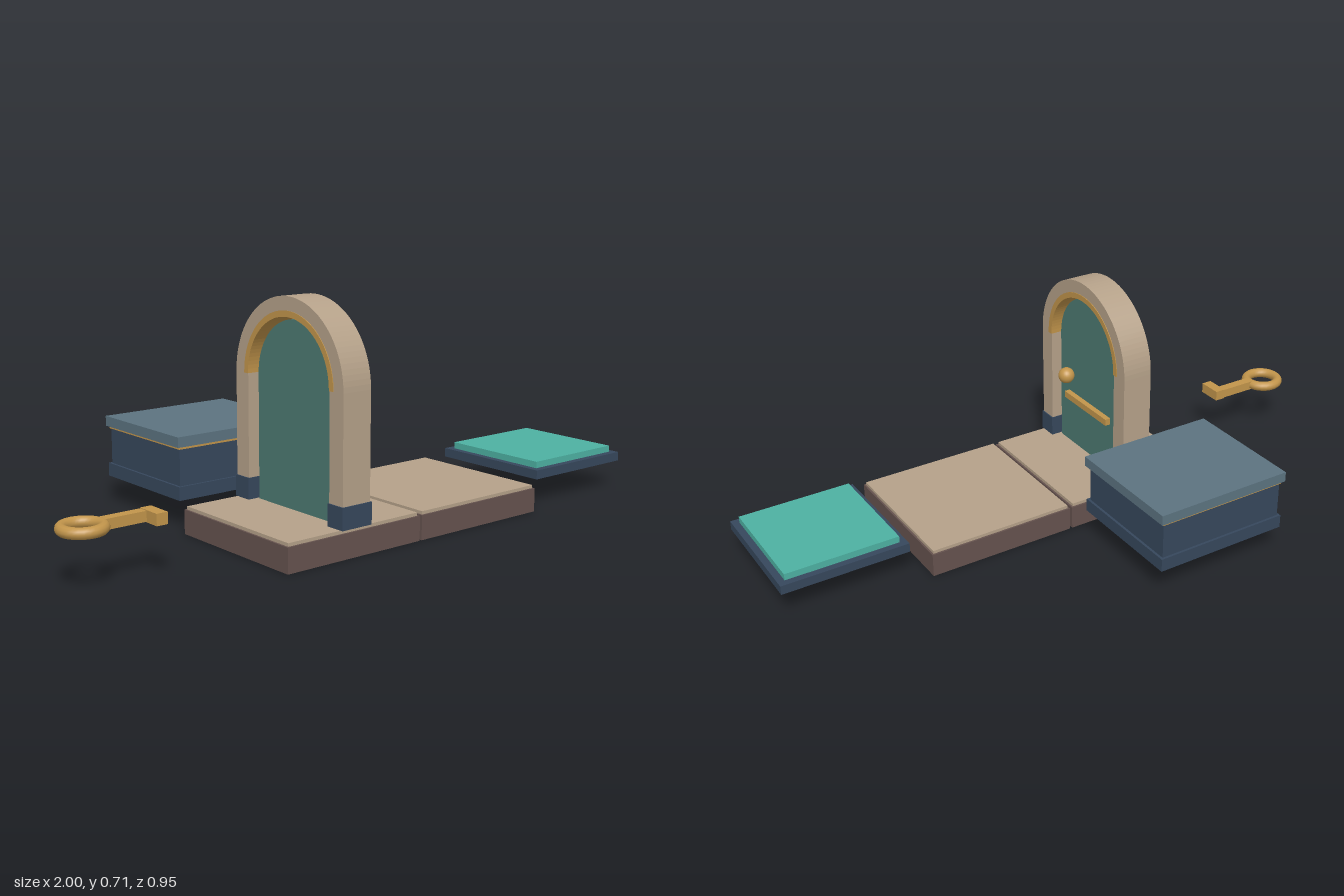
import * as THREE from 'three';

const mat = (name, color) => Object.assign(new THREE.MeshStandardMaterial({ color }), { name });
const M = {
  sand: mat('sandstone', 0xb5a189),
  brown: mat('dark brown', 0x65524e),
  navy: mat('navy', 0x36475c),
  slate: mat('slate', 0x5c7380),
  door: mat('door green', 0x4d7a72),
  teal: mat('teal', 0x4db1a2),
  gold: mat('gold', 0xc2954b),
};
const MID_Z = 0.229;   // centre line of door, tiles, key and plate
const DOOR_X = -0.204; // centre plane of the doorway
const FLOOR = 0.085;   // top of the tiles
const SPRING = 0.469;  // height where the arch curve begins

function add(parent, name, geometry, material, x = 0, y = 0, z = 0) {
  const mesh = new THREE.Mesh(geometry, material);
  mesh.name = name;
  mesh.position.set(x, y, z);
  parent.add(mesh);
  return mesh;
}

// Box given by its limits on each axis
function box(parent, name, material, [x0, x1], [y0, y1], [z0, z1]) {
  return add(parent, name, new THREE.BoxGeometry(x1 - x0, y1 - y0, z1 - z0), material,
    (x0 + x1) / 2, (y0 + y1) / 2, (z0 + z1) / 2);
}

function group(parent, name) {
  const g = new THREE.Group();
  g.name = name;
  parent.add(g);
  return g;
}

const around = (c, half) => [c - half, c + half];

// Round-topped outline with straight legs; inner = 0 makes a solid panel
function archGeometry(outer, inner, bottom, thickness) {
  const s = new THREE.Shape();
  s.moveTo(outer, bottom);
  s.lineTo(outer, SPRING);
  s.absarc(0, SPRING, outer, 0, Math.PI, false);
  s.lineTo(-outer, bottom);
  if (inner) {
    s.lineTo(-inner, bottom);
    s.lineTo(-inner, SPRING);
    s.absarc(0, SPRING, inner, Math.PI, 0, true);
    s.lineTo(inner, bottom);
  }
  const g = new THREE.ExtrudeGeometry(s, { depth: thickness, bevelEnabled: false, curveSegments: 24 });
  g.translate(0, 0, -thickness / 2);
  g.rotateY(-Math.PI / 2);
  return g;
}

export function createModel() {
  const model = new THREE.Group();
  model.name = 'doorwaySet';

  // Two floor tiles
  for (const x of [-0.204, 0.292]) {
    const tile = group(model, 'floorTile');
    box(tile, 'tileBase', M.brown, around(x, 0.244), [0, 0.075], around(MID_Z, 0.244));
    box(tile, 'tileTop', M.sand, around(x, 0.238), [0.075, FLOOR], around(MID_Z, 0.238));
  }

  // Doorway: arch, gold lining, feet, door leaf and fittings
  const doorway = group(model, 'doorway');
  add(doorway, 'archFrame', archGeometry(0.243, 0.185, FLOOR, 0.1), M.sand, DOOR_X, 0, MID_Z);
  add(doorway, 'archTrim', archGeometry(0.202, 0.184, SPRING - 0.001, 0.104), M.gold, DOOR_X, 0, MID_Z);
  for (const side of [-1, 1]) {
    box(doorway, 'postFoot', M.navy, around(DOOR_X, 0.054), [FLOOR, 0.151], around(MID_Z + side * 0.2145, 0.032));
  }
  add(doorway, 'doorLeaf', archGeometry(0.174, 0, FLOOR, 0.04), M.door, DOOR_X, 0, MID_Z);
  add(doorway, 'doorKnob', new THREE.SphereGeometry(0.027, 24, 16), M.gold, -0.161, 0.344, 0.335);
  box(doorway, 'doorBar', M.gold, [-0.185, -0.165], [0.255, 0.277], around(MID_Z, 0.123));

  // Chest behind the doorway
  const chest = group(model, 'chest');
  const CX = -0.205, CZ = -0.268;
  const layers = [
    ['chestBase', M.navy, 0.224, 0.201, 0.086, 0.128],
    ['chestBody', M.navy, 0.216, 0.193, 0.128, 0.242],
    ['chestTrim', M.gold, 0.22, 0.197, 0.241, 0.249],
    ['chestLid', M.slate, 0.229, 0.204, 0.249, 0.281],
  ];
  for (const [name, m, hx, hz, y0, y1] of layers) {
    box(chest, name, m, around(CX, hx), [y0, y1], around(CZ, hz));
  }

  // Pressure plate with a ring underneath
  const plate = group(model, 'pressurePlate');
  const PX = 0.794;
  box(plate, 'plateBase', M.navy, around(PX, 0.204), [0.086, 0.115], around(MID_Z, 0.204));
  box(plate, 'platePad', M.teal, around(PX, 0.182), [0.115, 0.136], around(MID_Z, 0.182));
  add(plate, 'plateRing', new THREE.TorusGeometry(0.124, 0.007, 10, 40), M.gold, PX, 0.075, MID_Z)
    .rotation.x = Math.PI / 2;

  // Key lying flat
  const key = group(model, 'key');
  add(key, 'keyBow', new THREE.TorusGeometry(0.0555, 0.0165, 12, 28), M.gold, -0.928, 0.165, MID_Z)
    .rotation.x = Math.PI / 2;
  box(key, 'keyShaft', M.gold, [-0.872, -0.71], around(0.165, 0.015), around(MID_Z, 0.016));
  box(key, 'keyBit', M.gold, [-0.743, -0.708], around(0.165, 0.017), [MID_Z - 0.017, 0.293]);

  return model;
}
